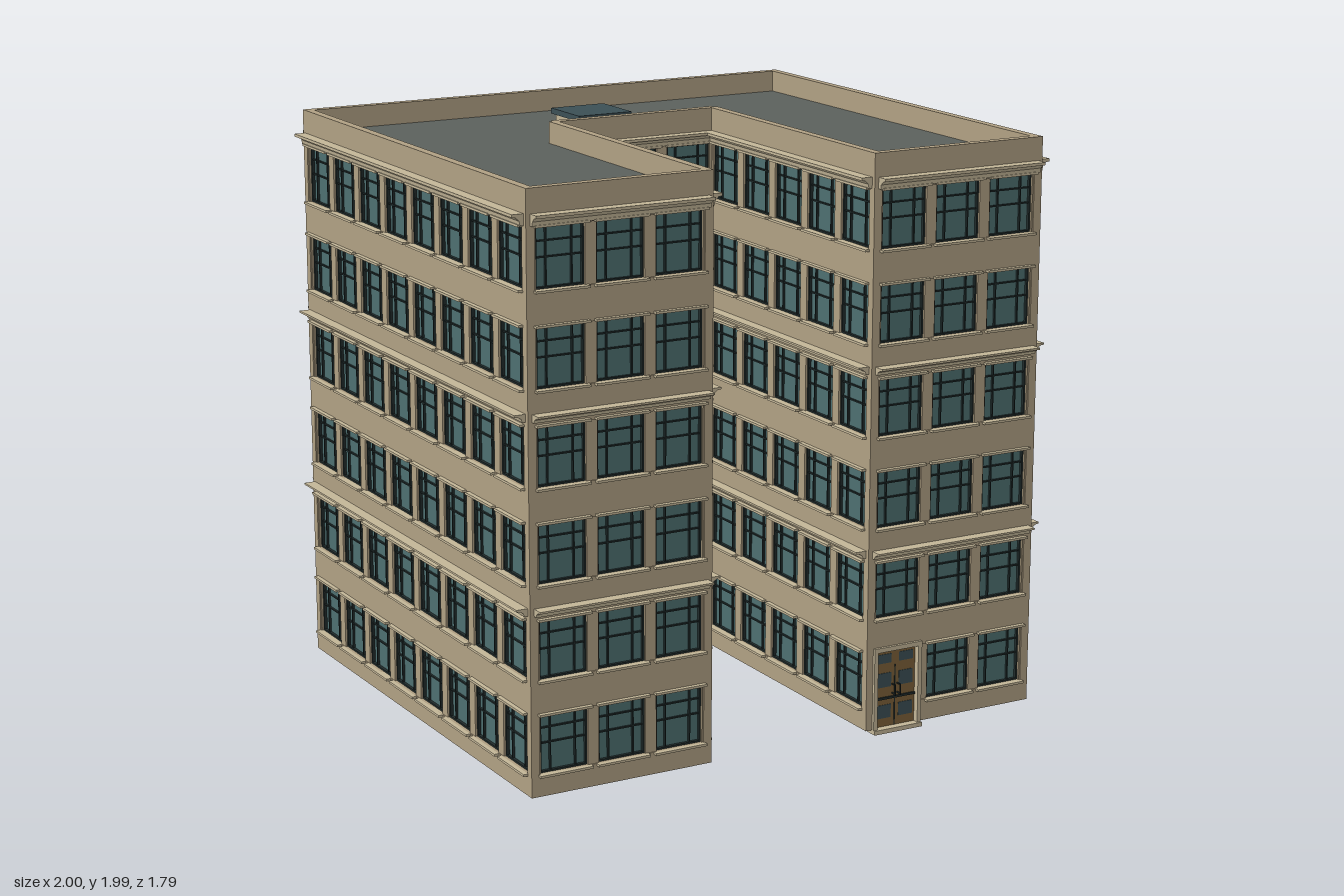
import * as THREE from 'three';
import { mergeGeometries } from 'three/addons/utils/BufferGeometryUtils.js';

const M = 0.21;        // bay width
const F = 0.315;       // storey height
const BASE = 0.015;    // foot of the walls
const FLOORS = 6;
const ROOF = BASE + FLOORS * F;
const TOP = 1.985;
const T = 0.015;       // half wall thickness
const SILL = 0.075, HEAD = 0.272, WIN = 0.17;

const mat = (color, side = THREE.FrontSide) => new THREE.MeshStandardMaterial({ color, side });
const MATS = {
  wall: mat(0xb0a083),
  trim: mat(0xc2b597),
  glass: mat(0x4d6f70, THREE.DoubleSide),
  frame: mat(0x1f2a2a),
  roof: mat(0x5b605c, THREE.DoubleSide),
  skylight: mat(0x3b4f55),
  wood: mat(0x7c6038),
};

// Box given by its limits on each axis
function box(x0, x1, y0, y1, z0, z1) {
  return new THREE.BoxGeometry(x1 - x0, y1 - y0, z1 - z0)
    .translate((x0 + x1) / 2, (y0 + y1) / 2, (z0 + z1) / 2).toNonIndexed();
}

function add(group, name, parts, material) {
  const mesh = new THREE.Mesh(mergeGeometries(parts), material);
  mesh.name = name;
  group.add(mesh);
}

// Moulded ledge along x, its top at height y
function cornice(width, y, h) {
  const s = new THREE.Shape([[0, -h], [0.027, -h], [0.03, -h * 0.6], [0.042, -h * 0.3], [0.055, -h * 0.25], [0.055, 0], [0, 0]]
    .map(([x, v]) => new THREE.Vector2(x, v)));
  return new THREE.ExtrudeGeometry(s, { depth: width, bevelEnabled: false })
    .rotateY(-Math.PI / 2).translate(width / 2, y, 0);
}

// Dark frame and glazing bars of one window, centred on x
function windowBars(x, y0, y1) {
  const w = WIN / 2, t = 0.006, z0 = -0.012, z1 = 0.004;
  const bars = [];
  for (const s of [-1, 1]) {
    const e = x + s * (w - t / 2), m = x + s * 0.045;
    bars.push(box(e - t / 2, e + t / 2, y0, y1, z0, z1));
    bars.push(box(m - 0.0025, m + 0.0025, y0, y1, z0, z1 - 0.003));
  }
  for (const f of [0.5, 0.76]) {
    const y = y0 + (y1 - y0) * f;
    bars.push(box(x - w, x + w, y - 0.0025, y + 0.0025, z0, z1 - 0.004));
  }
  bars.push(box(x - w, x + w, y0, y0 + t, z0, z1), box(x - w, x + w, y1 - t, y1, z0, z1));
  return bars;
}

// Straight wall of n bays facing +z; doorBay leaves a doorway at the ground
function facade(n, doorBay = -1) {
  const g = new THREE.Group();
  const W = n * M, h = W / 2;
  const wall = [], trim = [], glass = [], frame = [], parapet = [];

  for (let f = 0; f < FLOORS; f++) {
    const y = BASE + f * F;
    // Spandrel band under the windows
    if (f > 0) wall.push(box(-h, h, y - F + HEAD, y + SILL, -T, T));
    for (let i = 0; i < n; i++) {
      const x = -h + (i + 0.5) * M;
      const door = f === 0 && i === doorBay;
      if (f === 0 && !door) wall.push(box(x - M / 2, x + M / 2, y, y + SILL, -T, T));
      if (door) {
        for (const s of [-1, 1]) {
          const c = x + s * (M / 2 - 0.01);
          wall.push(box(c - 0.01, c + 0.01, y, y + SILL, -T, T));
        }
        continue;
      }
      const y0 = y + SILL, y1 = y + HEAD;
      glass.push(box(x - WIN / 2, x + WIN / 2, y0, y1, -0.011, -0.007));
      frame.push(...windowBars(x, y0, y1));
      // Sill and lintel
      trim.push(box(x - 0.095, x + 0.095, y0 - 0.008, y0, 0, 0.031));
      trim.push(box(x - 0.095, x + 0.095, y1, y1 + 0.008, 0, 0.031));
    }
    // Piers between the windows
    for (let i = 0; i <= n; i++) {
      const x = -h + i * M;
      wall.push(box(Math.max(-h, x - 0.02), Math.min(h, x + 0.02), y + SILL, y + HEAD, -T, 0.011));
    }
    if (f % 2 === 1) trim.push(cornice(W, y + F, f === FLOORS - 1 ? 0.038 : 0.026));
  }
  wall.push(box(-h, h, ROOF - F + HEAD, ROOF, -T, T));
  for (let i = 0; i < n; i++) parapet.push(box(-h + i * M, -h + (i + 1) * M, ROOF, TOP, -T, T));

  add(g, 'wall', wall, MATS.wall);
  add(g, 'ledges', trim, MATS.trim);
  add(g, 'glass', glass, MATS.glass);
  add(g, 'windowFrames', frame, MATS.frame);
  add(g, 'parapet', parapet, MATS.wall);
  return g;
}

// Double entrance door centred on x = 0, with step and handles
function entrance() {
  const g = new THREE.Group();
  const y1 = BASE + HEAD, w = 0.085;
  add(g, 'doorLeaves', [box(-w, w, BASE, y1, -0.012, 0.004)], MATS.wood);
  add(g, 'doorSurround', [
    box(-0.095, -0.08, BASE, y1 + 0.016, -0.01, 0.025),
    box(0.08, 0.095, BASE, y1 + 0.016, -0.01, 0.025),
    box(-0.08, 0.08, y1, y1 + 0.016, -0.01, 0.025),
    box(-0.095, 0.095, 0, BASE, -T, 0.032),
  ], MATS.trim);
  const panes = [], bars = [box(-0.08, 0.08, 0.112, 0.12, 0, 0.009), box(-0.002, 0.002, BASE, 0.23, 0, 0.006)];
  for (const s of [-1, 1]) {
    for (const [a, b] of [[0.045, 0.092], [0.155, 0.205], [0.24, 0.272]]) {
      const p = s * 0.043;
      panes.push(box(p - 0.028, p + 0.028, a, b, -0.014, 0.006));
    }
    // Pull handle
    bars.push(box(s * 0.01 - 0.002, s * 0.01 + 0.002, 0.125, 0.165, 0.022, 0.026));
    for (const y of [0.128, 0.16]) bars.push(box(s * 0.01 - 0.002, s * 0.01 + 0.002, y, y + 0.004, 0.003, 0.023));
  }
  add(g, 'doorPanes', panes, MATS.skylight);
  add(g, 'doorBarsAndHandles', bars, MATS.frame);
  return g;
}

export function createModel() {
  const model = new THREE.Group();
  model.name = 'officeBuilding';
  const X = 4.5 * M, Z = 4 * M, CX = 1.5 * M, CZ = -M;
  const q = Math.PI / 2;

  // Walls around the U-shaped plan: name, x, z, turn, bays, door bay
  const walls = [
    ['leftWingFront', 3 * M, Z, 0, 3, 0],
    ['rightWingFront', -3 * M, Z, 0, 3],
    ['courtyardBack', 0, CZ, 0, 3],
    ['backFacade', 0, -Z, 2 * q, 9],
    ['leftFacade', X, 0, q, 8],
    ['rightFacade', -X, 0, -q, 8],
    ['courtyardLeft', CX, 1.5 * M, -q, 5],
    ['courtyardRight', -CX, 1.5 * M, q, 5],
  ];
  for (const [name, x, z, turn, n, door] of walls) {
    const f = facade(n, door);
    f.name = name;
    f.position.set(x, 0, z);
    f.rotation.y = turn;
    model.add(f);
  }

  const door = entrance();
  door.name = 'entrance';
  door.position.set(2 * M, 0, Z);
  model.add(door);

  // Corner posts at the outward corners
  const posts = [];
  for (const s of [-1, 1]) {
    for (const [x, z] of [[X, Z], [X, -Z], [CX, Z]]) {
      posts.push(box(s * x - T, s * x + T, BASE, TOP, z - T, z + T));
    }
  }
  add(model, 'cornerPosts', posts, MATS.wall);

  // Flat roof
  const plan = new THREE.Shape([[-X, -Z], [-CX, -Z], [-CX, -CZ], [CX, -CZ], [CX, -Z], [X, -Z], [X, Z], [-X, Z]]
    .map(([x, y]) => new THREE.Vector2(x, y)));
  const roof = new THREE.ExtrudeGeometry(plan, { depth: 0.01, bevelEnabled: false })
    .rotateX(-q).translate(0, ROOF - 0.005, 0);
  add(model, 'roof', [roof], MATS.roof);

  // Skylight on a raised kerb
  const sz = -2.5 * M;
  add(model, 'skylightKerb', [box(-0.092, 0.092, ROOF, ROOF + 0.03, sz - 0.092, sz + 0.092)], MATS.trim);
  add(model, 'skylightGlass', [box(-0.105, 0.105, ROOF + 0.03, ROOF + 0.05, sz - 0.105, sz + 0.105)], MATS.skylight);

  return model;
}
